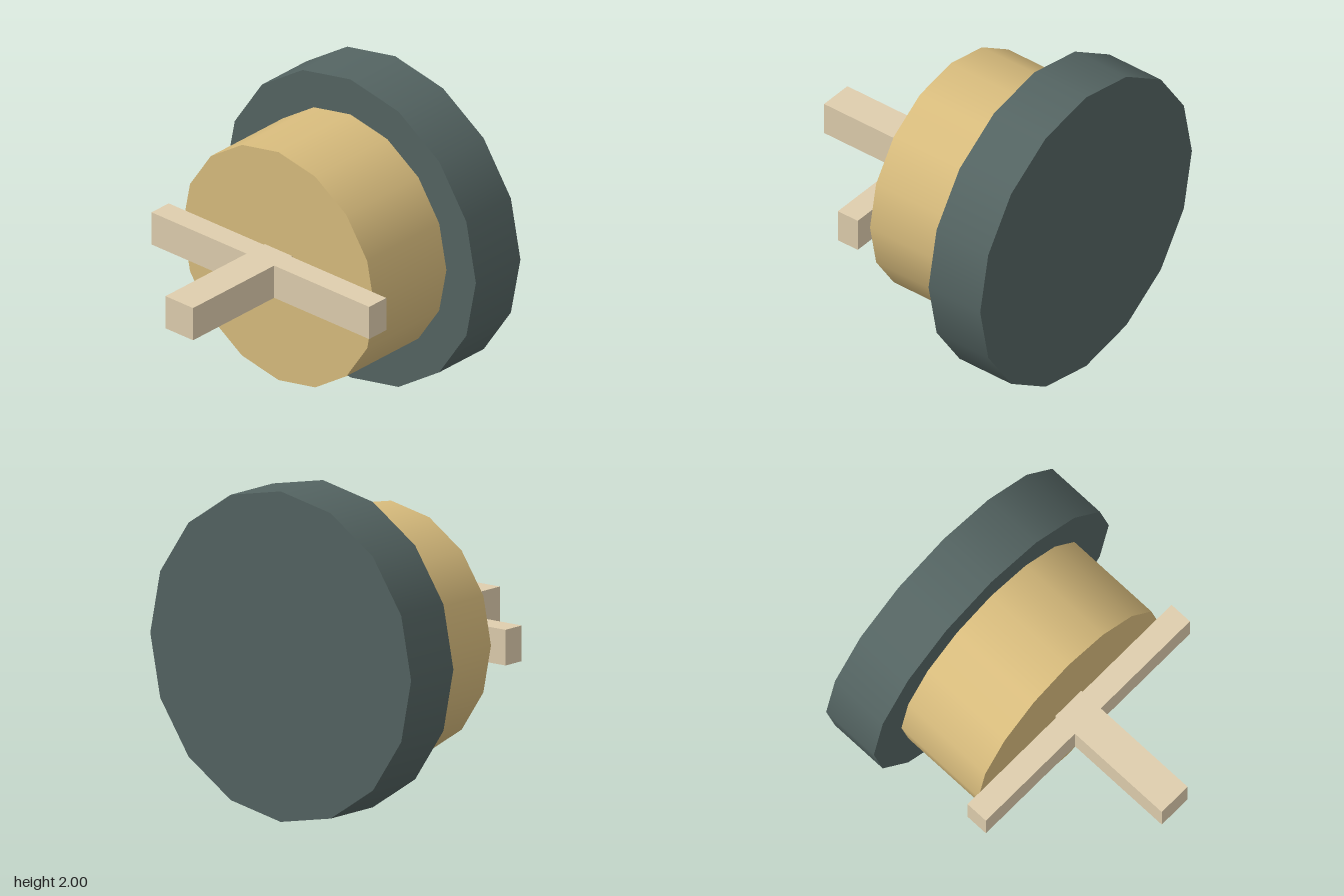
import * as THREE from 'three';

const mat = (color) => new THREE.MeshStandardMaterial({ color });

// 16-sided disc lying along z, between two depths
function disc(name, radius, zBack, zFront, color) {
  const geo = new THREE.CylinderGeometry(radius, radius, zFront - zBack, 16);
  geo.rotateX(Math.PI / 2);
  const mesh = new THREE.Mesh(geo, mat(color));
  mesh.name = name;
  mesh.position.set(0, 1, (zBack + zFront) / 2);
  return mesh;
}

export function createModel() {
  const group = new THREE.Group();
  group.name = 'turnHandle';

  // Wide back plate and the narrower drum in front of it
  group.add(disc('backPlate', 1, -0.945, -0.555, 0x546462));
  group.add(disc('drum', 0.765, -0.555, 0.075, 0xd8bc7d));

  // T-shaped handle: crossbar just off the drum, stem running forward
  const half = [[0.11, 0.06], [0.11, 0.085], [0.868, 0.085], [0.868, 0.235], [0.11, 0.235], [0.11, 0.945]];
  const mirrored = half.map(([x, z]) => [-x, z]).reverse();
  const outline = [...half, ...mirrored].map(([x, z]) => new THREE.Vector2(x, z));
  const height = 0.216;
  const geo = new THREE.ExtrudeGeometry(new THREE.Shape(outline), { depth: height, bevelEnabled: false });
  geo.rotateX(Math.PI / 2);
  const handle = new THREE.Mesh(geo, mat(0xdfceae));
  handle.name = 'handle';
  handle.position.y = 1 + height / 2;
  group.add(handle);

  return group;
}
